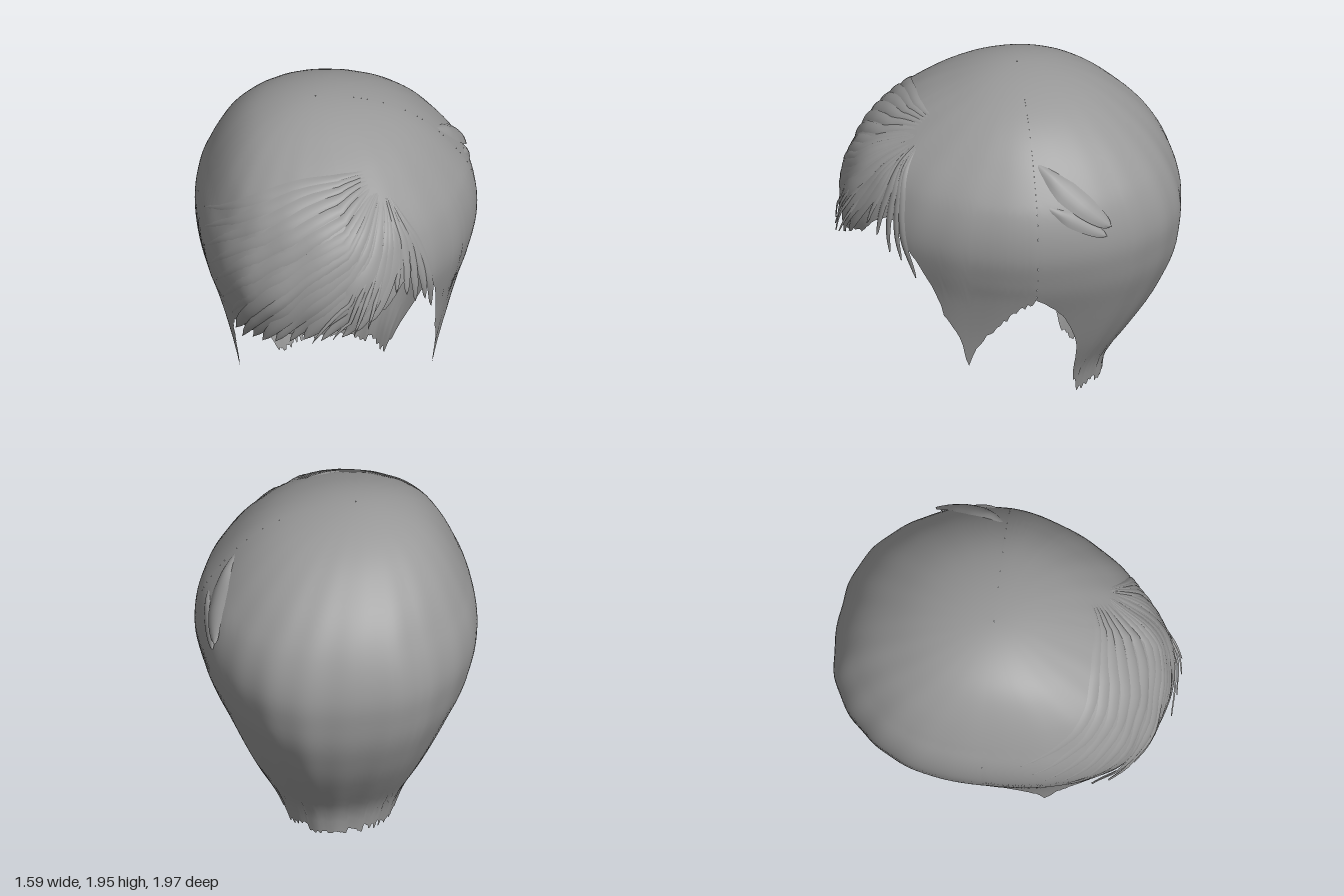
import * as THREE from 'three';

const TOP = 1.98, MID_Z = -0.08, RAD = Math.PI / 180;
const hash = (i) => { const s = Math.sin(i * 127.1 + 11.7) * 43758.5453; return s - Math.floor(s); };

// Smooth interpolation through rows [key, value, ...]
function sample(rows, k, col) {
  const n = rows.length;
  if (k <= rows[0][0]) return rows[0][col];
  if (k >= rows[n - 1][0]) return rows[n - 1][col];
  let i = 0;
  while (rows[i + 1][0] < k) i++;
  const slope = (j) => {
    const a = rows[Math.max(j - 1, 0)], b = rows[Math.min(j + 1, n - 1)];
    return (b[col] - a[col]) / (b[0] - a[0]);
  };
  const h = rows[i + 1][0] - rows[i][0], t = (k - rows[i][0]) / h, t2 = t * t, t3 = t2 * t;
  return (2 * t3 - 3 * t2 + 1) * rows[i][col] + (t3 - 2 * t2 + t) * h * slope(i)
    + (3 * t2 - 2 * t3) * rows[i + 1][col] + (t3 - t2) * h * slope(i + 1);
}
const byDepth = (rows) => rows.map(([y, ...v]) => [Math.sqrt(TOP - y), ...v]);

// Height, half width, depth from the middle line
const BACK = byDepth([
  [1.98, 0, 0], [1.9, 0.37, 0.37], [1.8, 0.52, 0.54], [1.6, 0.68, 0.75], [1.4, 0.775, 0.865],
  [1.2, 0.795, 0.915], [1.0, 0.75, 0.9], [0.9, 0.715, 0.88], [0.8, 0.67, 0.845], [0.6, 0.585, 0.75],
  [0.4, 0.5, 0.62], [0.2, 0.4, 0.49], [0.02, 0.34, 0.46]]);
const FRONT = byDepth([
  [1.98, 0, 0], [1.9, 0.37, 0.36], [1.8, 0.52, 0.57], [1.6, 0.68, 0.85], [1.4, 0.775, 0.96],
  [1.2, 0.795, 1.0], [1.0, 0.75, 0.97], [0.9, 0.715, 0.95], [0.6, 0.63, 0.95], [0.35, 0.58, 0.95]]);

// Lower edges: angle from the left side, height
const FRONT_HEM = [
  [0, 0.9], [8, 0.83], [14.7, 0.72], [21.4, 0.58], [24.7, 0.48], [26.7, 0.37], [30, 0.59], [36, 0.73],
  [40, 0.9], [44.5, 1.06], [50, 1.22], [57, 1.32], [63, 1.25], [71, 1.13], [90, 1.04], [100, 1.0], [115, 0.96],
  [134, 0.91], [149, 0.87], [155, 0.74], [160, 0.6], [164, 0.38], [167, 0.55], [171, 0.68], [176, 0.84], [180, 0.9]];
const NAPE_HEM = [[0, 0.9], [6.6, 0.8], [13, 0.65], [20.5, 0.45], [28.5, 0.2], [34, 0.06], [90, 0.06]];

function hemAt(rows, a) {
  let i = 0;
  while (i < rows.length - 2 && rows[i + 1][0] < a) i++;
  const [a0, y0] = rows[i], [a1, y1] = rows[i + 1];
  return y0 + (y1 - y0) * (a - a0) / (a1 - a0);
}

// Point on the hair surface; angle 0 = left, 90 = front, 180 = right, negative = back
function surface(angle, y) {
  const q = Math.sqrt(Math.max(TOP - y, 0));
  const front = angle >= 0, rows = front ? FRONT : BACK;
  const c = Math.cos(angle * RAD), s = Math.sin(angle * RAD);
  // Squarer towards the back and right, narrower at the left temple, round at the crown
  const n = 2 + Math.min(1, q * 1.8) * (!front ? 0.25 : c < 0 ? 0.5 : -0.35);
  const pw = (v) => Math.sign(v) * Math.pow(Math.abs(v), 2 / n);
  // Soft waves running down the locks
  const fade = Math.min(1, q * 1.3) * Math.abs(s);
  const wave = 1 + fade * (0.007 * Math.sin(angle * 0.13 + q * 3.5) + 0.004 * Math.sin(angle * 0.37 - q * 4));
  const xc = -0.12 * Math.max(0, 1 - q / 0.7);
  return new THREE.Vector3(
    xc + sample(rows, q, 1) * pw(c) * wave, y, MID_Z + sample(rows, q, 2) * pw(s) * wave);
}

// Indexed sheet from a grid of points
function sheet(nu, nv, point) {
  const pos = [], idx = [];
  for (let i = 0; i <= nu; i++) for (let j = 0; j <= nv; j++) {
    pos.push(...point(i / nu, j / nv, i).toArray());
    if (i < nu && j < nv) {
      const a = i * (nv + 1) + j, b = a + nv + 1;
      idx.push(a, b, a + 1, b, b + 1, a + 1);
    }
  }
  const g = new THREE.BufferGeometry();
  g.setAttribute('position', new THREE.Float32BufferAttribute(pos, 3));
  g.setIndex(idx);
  g.computeVertexNormals();
  return g;
}

// Half of the shell, from the crown down to its hem
function shell(from, to, columns, hem) {
  return sheet(columns, 48, (u, v, i) => {
    const a = from + (to - from) * u;
    const q = Math.max(v, 0.002) * Math.sqrt(TOP - hem(a, i));
    return surface(a, TOP - q * q);
  });
}

// Tapered lock lying on the surface from [angle, y] to [angle, y]
function lock([a0, y0], [a1, y1], width, height, bend = 1.7, flick = 0.02) {
  const path = (t) => surface(a0 + (a1 - a0) * t, y0 + (y1 - y0) * Math.pow(t, bend));
  return sheet(26, 6, (t, v) => {
    const p = path(t);
    const along = path(Math.min(t + 0.02, 1)).sub(path(Math.max(t - 0.02, 0))).normalize();
    const out = new THREE.Vector3(p.x, (p.y - 1.05) * 0.9, p.z + 0.08).normalize();
    const side = new THREE.Vector3().crossVectors(along, out).normalize();
    out.crossVectors(side, along).normalize();
    const w = width * Math.pow(Math.min(1, t * 2.2 + 0.04), 0.8) * Math.sqrt(Math.max(0.0004, 1 - Math.pow(t, 3)));
    const k = v * 2 - 1;
    const lift = height * Math.min(1, t * 4) * (1 - k * k) * (1 - 0.6 * t) - 0.006 + flick * t * t * t;
    return p.addScaledVector(side, -k * w).addScaledVector(out, lift);
  });
}

export function createModel() {
  const hair = new THREE.MeshStandardMaterial({ color: 0x999999, side: THREE.DoubleSide });
  hair.name = 'hair grey';
  const model = new THREE.Group();
  model.name = 'hairpiece';
  const add = (name, geometry, parent = model) => {
    const mesh = new THREE.Mesh(geometry, hair);
    mesh.name = name;
    parent.add(mesh);
  };
  const group = (name) => {
    const g = new THREE.Group();
    g.name = name;
    model.add(g);
    return g;
  };

  // Back shell with arches over the ears and a ragged nape
  add('backHair', shell(-180, -0.01, 140, (a, i) => {
    const fromSide = Math.min(-a, 180 + a);
    return hemAt(NAPE_HEM, fromSide) + (fromSide > 30 ? 0.06 : 0.015) * (hash(Math.floor(i / 2)) - 0.5);
  }));
  // Front shell with sideburns and fringe edge
  add('frontHair', shell(0, 180, 150, (a, i) =>
    hemAt(FRONT_HEM, a) + (a < 38 || a > 152 ? 0.035 : 0.02) * (hash(i + 300) - 0.5)));

  // Fringe locks fanning out diagonally from the parting across the forehead
  const fringe = group('fringe');
  const part = [60, 1.74];
  for (let i = 0; i < 11; i++) {
    const a = 78 + i * 6.8;
    const tip = hemAt(FRONT_HEM, Math.min(a, 148)) - 0.04 * hash(i + 5);
    add('fringeLock', lock(part, [a, tip], 0.04 + 0.03 * hash(i), 0.015 + 0.012 * hash(i + 40),
      0.8 + i * 0.06, 0.01 + 0.03 * hash(i + 70)), fringe);
  }
  // Long locks carried over the top to the right side
  for (let i = 0; i < 7; i++) {
    add('sweptLock', lock([part[0], part[1] + i * 0.01], [150 + i * 3.5, 0.9 + i * 0.085],
      0.055, 0.018, 1.5 + i * 0.22, 0), fringe);
  }
  // Short locks falling left of the parting
  for (let i = 0; i < 5; i++) {
    add('partingLock', lock(part, [66 - i * 5, 1.2 - 0.06 * i + 0.05 * hash(i + 21)],
      0.022 + 0.014 * hash(i + 9), 0.016, 1.1, 0.015), fringe);
  }
  // Loose wisps standing off the forehead
  for (let i = 0; i < 4; i++) {
    add('wisp', lock([64 + i * 2, 1.6], [80 + i * 7, 1.08 - 0.03 * i], 0.016, 0.015, 1.1, 0.07), fringe);
  }

  // Raised lock with a flicked tip on the left side
  const sideLock = group('leftSideLock');
  add('sideLockUpper', lock([-0.5, 1.72], [-25, 1.36], 0.08, 0.03, 1.1, 0.03), sideLock);
  add('sideLockLower', lock([-2, 1.52], [-23, 1.31], 0.05, 0.02, 1.1, 0.02), sideLock);
  return model;
}
